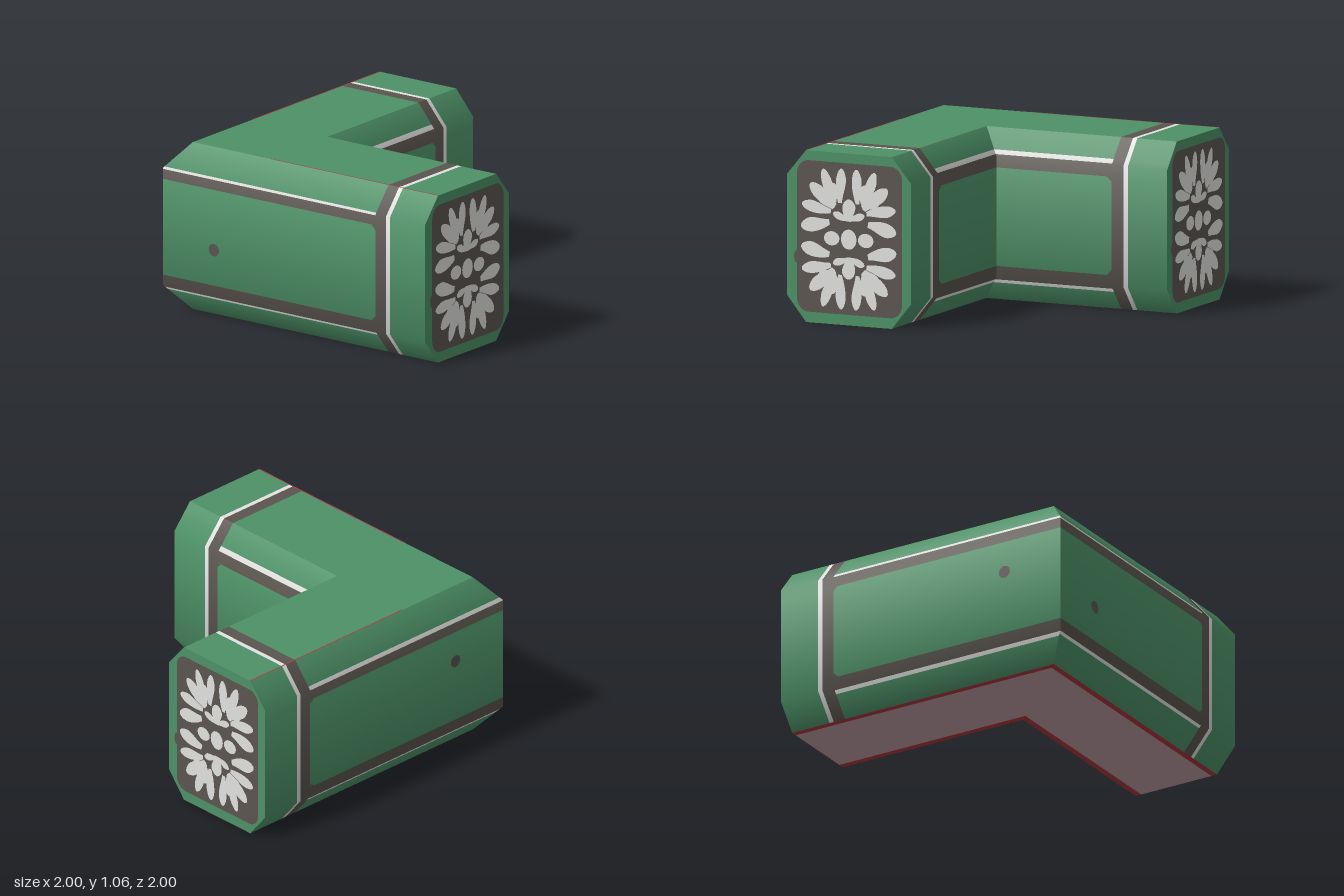
import * as THREE from 'three';

const mat = (name, color) => {
  const m = new THREE.MeshStandardMaterial({ color });
  m.name = name;
  return m;
};

const IN = -0.16, OUT = -1, MID = -0.58, END = 0.997, H = 1.055;
const EDGE_LO = 0.16, EDGE_HI = 0.9, CH = 0.13;

export function createModel() {
  const M = {
    green: mat('green paint', 0x4d9167),
    dark: mat('dark trim', 0x5b554f),
    white: mat('white trim', 0xe2e2e0),
    base: mat('mauve underside', 0xbe9ca5),
    red: mat('red edging', 0xaf363e),
  };
  const model = new THREE.Group();
  model.name = 'cornerBeam';

  // Distance that the chamfer pulls the wall inwards at height y
  const inset = (y) => y > EDGE_HI ? CH * (y - EDGE_HI) / (H - EDGE_HI)
    : y < EDGE_LO ? CH * (EDGE_LO - y) / EDGE_LO : 0;

  // Smooth normal of wall and chamfers: the tilt grows towards top and bottom
  const wallNormal = ([u, y]) => {
    const bevel = Math.atan2(CH, EDGE_LO), half = bevel / 2;
    const tilt = y > EDGE_HI ? THREE.MathUtils.mapLinear(y, EDGE_HI, H, half, bevel)
      : y < EDGE_LO ? THREE.MathUtils.mapLinear(y, 0, EDGE_LO, -bevel, -half)
        : THREE.MathUtils.mapLinear(y, EDGE_LO, EDGE_HI, -half, half);
    return [Math.cos(tilt) * Math.sign(u - MID), Math.sin(tilt), 0];
  };

  // Octagonal cross-section, counter-clockwise: [u, y, colour up to next stop]
  const profile = [[OUT + CH, 0, 'red'], [OUT + CH + 0.04, 0, 'base'], [IN - CH - 0.04, 0, 'red']];
  const innerStops = [[0, 'green'], [0.118, 'white'], [0.14, 'dark'], [EDGE_LO, 'dark'], [0.225, 'green'],
    [0.83, 'dark'], [EDGE_HI, 'dark'], [0.91, 'white'], [0.935, 'green']];
  innerStops.forEach(([y, c]) => profile.push([IN - inset(y), y, c]));
  profile.push([IN - CH, H, 'green']);
  const outerStops = {
    frontArm: [[H, 'green'], [0.908, 'white'], [EDGE_HI, 'white'], [0.893, 'dark'], [0.83, 'green'],
      [0.225, 'dark'], [EDGE_LO, 'dark'], [0.148, 'white'], [0.133, 'green']],
    sideArm: [[H, 'green'], [0.917, 'white'], [EDGE_HI, 'white'], [0.896, 'dark'], [0.83, 'green'],
      [0.225, 'dark'], [EDGE_LO, 'dark'], [0.145, 'white'], [0.125, 'green']],
  };

  // One arm: strips swept from the mitre to the end; the side arm swaps x and z
  function makeArm(name) {
    const swap = name === 'sideArm';
    const arm = new THREE.Group();
    arm.name = name;
    const faces = {};
    const place = ([u, y, s]) => swap ? [s, y, u] : [u, y, s];
    const add = (part, colour, pts, flatNormal) => {
      const key = part + '|' + colour;
      const f = faces[key] || (faces[key] = { position: [], normal: [] });
      const p = swap ? pts.slice().reverse() : pts;
      for (let i = 1; i < p.length - 1; i++) {
        for (const v of [p[0], p[i], p[i + 1]]) {
          f.position.push(...place(v));
          f.normal.push(...place(flatNormal || wallNormal(v)));
        }
      }
    };
    const strip = (part, colour, a, b, s0, s1) => {
      const start = (p) => s0 === null ? p[0] : s0;
      const flat = a[1] === b[1] ? [0, a[1] > 0 ? 1 : -1, 0] : null;
      add(part, colour, [[a[0], a[1], start(a)], [b[0], b[1], start(b)], [b[0], b[1], s1], [a[0], a[1], s1]], flat);
    };

    const ring = profile.concat(outerStops[name].map(([y, c]) => [OUT + inset(y), y, c]));
    ring.forEach((a, i) => {
      const b = ring[(i + 1) % ring.length];
      if (a[1] === 0 && b[1] === 0) {
        strip('underside', a[2], a, b, null, END);
        return;
      }
      strip(a[2] === 'green' ? 'shell' : 'rail', a[2], a, b, null, 0.62);
      strip('collar', 'dark', a, b, 0.62, 0.7);
      strip('collar', 'white', a, b, 0.7, 0.73);
      strip('shell', 'green', a, b, 0.73, END);
    });

    // Cut corners of the wall panels beside the collar
    for (const [u, out] of [[IN + 0.002, 1], [OUT - 0.002, -1]]) {
      for (const [y, dy] of [[0.83, -1], [0.225, 1]]) {
        const t = [[u, y, 0.62], [u, y, 0.59], [u, y + dy * 0.03, 0.62]];
        add('panelCorner', 'dark', out * dy < 0 ? t.reverse() : t);
      }
    }

    // Fine line along the outer top edge
    strip('topLine', 'red', [OUT + CH + 0.005, H + 0.001], [OUT + CH - 0.003, H + 0.001], -0.28, END);

    for (const [key, f] of Object.entries(faces)) {
      const [part, colour] = key.split('|');
      const g = new THREE.BufferGeometry();
      g.setAttribute('position', new THREE.Float32BufferAttribute(f.position, 3));
      g.setAttribute('normal', new THREE.Float32BufferAttribute(f.normal, 3));
      const mesh = new THREE.Mesh(g, M[colour]);
      mesh.name = part + '_' + colour;
      arm.add(mesh);
    }

    // Worn spot on the outer wall
    const spot = new THREE.Mesh(new THREE.CircleGeometry(0.04, 12), M.dark);
    spot.name = 'wallSpot';
    spot.position.set(...(swap ? [-0.6, 0.63, -1.002] : [-1.002, 0.45, -0.61]));
    spot.rotation.y = swap ? Math.PI : -Math.PI / 2;
    arm.add(spot);
    return arm;
  }

  const octagon = new THREE.Shape([
    [-0.29, 0], [0.29, 0], [0.42, EDGE_LO], [0.42, EDGE_HI],
    [0.29, H], [-0.29, H], [-0.42, EDGE_HI], [-0.42, EDGE_LO],
  ].map(([x, y]) => new THREE.Vector2(x, y)));

  // Rectangle with rounded corners
  function roundRect(x0, x1, y0, y1, r) {
    const s = new THREE.Shape();
    s.absarc(x1 - r, y0 + r, r, -Math.PI / 2, 0);
    s.absarc(x1 - r, y1 - r, r, 0, Math.PI / 2);
    s.absarc(x0 + r, y1 - r, r, Math.PI / 2, Math.PI);
    s.absarc(x0 + r, y0 + r, r, Math.PI, Math.PI * 1.5);
    return s;
  }

  // Leaf from base to tip, widest near the tip
  function leaf([bx, by, tx, ty, w]) {
    const dx = tx - bx, dy = ty - by, len = Math.hypot(dx, dy);
    const at = (t, side) => [bx + dx * t - dy / len * side * w, by + dy * t + dx / len * side * w];
    const s = new THREE.Shape();
    s.moveTo(...at(0, -0.2));
    s.bezierCurveTo(...at(0.35, -0.3), ...at(0.6, -0.75), ...at(0.85, -0.42));
    s.quadraticCurveTo(...at(1.05, -0.2), ...at(1, 0.1));
    s.bezierCurveTo(...at(0.85, 0.65), ...at(0.4, 0.6), ...at(0, 0.2));
    return s;
  }
  const oval = (x, y, rx, ry) => new THREE.Shape().absellipse(x, y, rx, ry, 0, Math.PI * 2);

  // Quarter of the rosette: base x, base y, tip x, tip y, width
  const leaves = [
    [0.06, 0.22, 0.05, 0.43, 0.065],
    [0.1, 0.2, 0.175, 0.42, 0.065],
    [0.1, 0.19, 0.26, 0.325, 0.08],
    [0.12, 0.165, 0.315, 0.2, 0.07],
    [0.13, 0.1, 0.32, 0.06, 0.085],
    [0.09, 0.2, 0.21, 0.265, 0.075],
    [0.095, 0.22, 0.11, 0.34, 0.06],
    [0.01, 0.12, 0.105, 0.155, 0.045],
  ];

  // End face with dark plate and floral rosette
  function makeEnd() {
    const end = new THREE.Group();
    end.name = 'endFace';
    const plate = (name, shapes, material, y, z) => {
      const mesh = new THREE.Mesh(new THREE.ShapeGeometry(shapes, 8), material);
      mesh.name = name;
      mesh.position.set(0, y, z);
      end.add(mesh);
    };
    plate('endCap', octagon, M.green, 0, 0);
    plate('endPlate', roundRect(-0.35, 0.36, 0.065, 0.995, 0.08), M.dark, 0, 0.0015);
    plate('plateBump', oval(-0.35, 0.4, 0.02, 0.04), M.dark, 0, 0.0015);

    const centre = [oval(0, 0, 0.053, 0.062), oval(0.115, 0, 0.053, 0.044), oval(-0.115, 0, 0.053, 0.044),
      leaf([0, 0.11, 0, 0.245, 0.085]), leaf([0, -0.11, 0, -0.245, 0.085])];
    plate('rosetteCentre', centre, M.white, H / 2, 0.003);
    for (const sx of [1, -1]) for (const sy of [1, -1]) {
      const quarter = leaves.map(([a, b, c, d, w]) => leaf([a * sx, b * sy, c * sx, d * sy, w]));
      plate('rosetteLeaves', quarter, M.white, H / 2, 0.003);
    }
    return end;
  }

  model.add(makeArm('frontArm'), makeArm('sideArm'));
  const frontEnd = makeEnd();
  frontEnd.position.set(MID, 0, END);
  const sideEnd = makeEnd();
  sideEnd.position.set(END, 0, MID);
  sideEnd.rotation.y = Math.PI / 2;
  model.add(frontEnd, sideEnd);
  return model;
}
